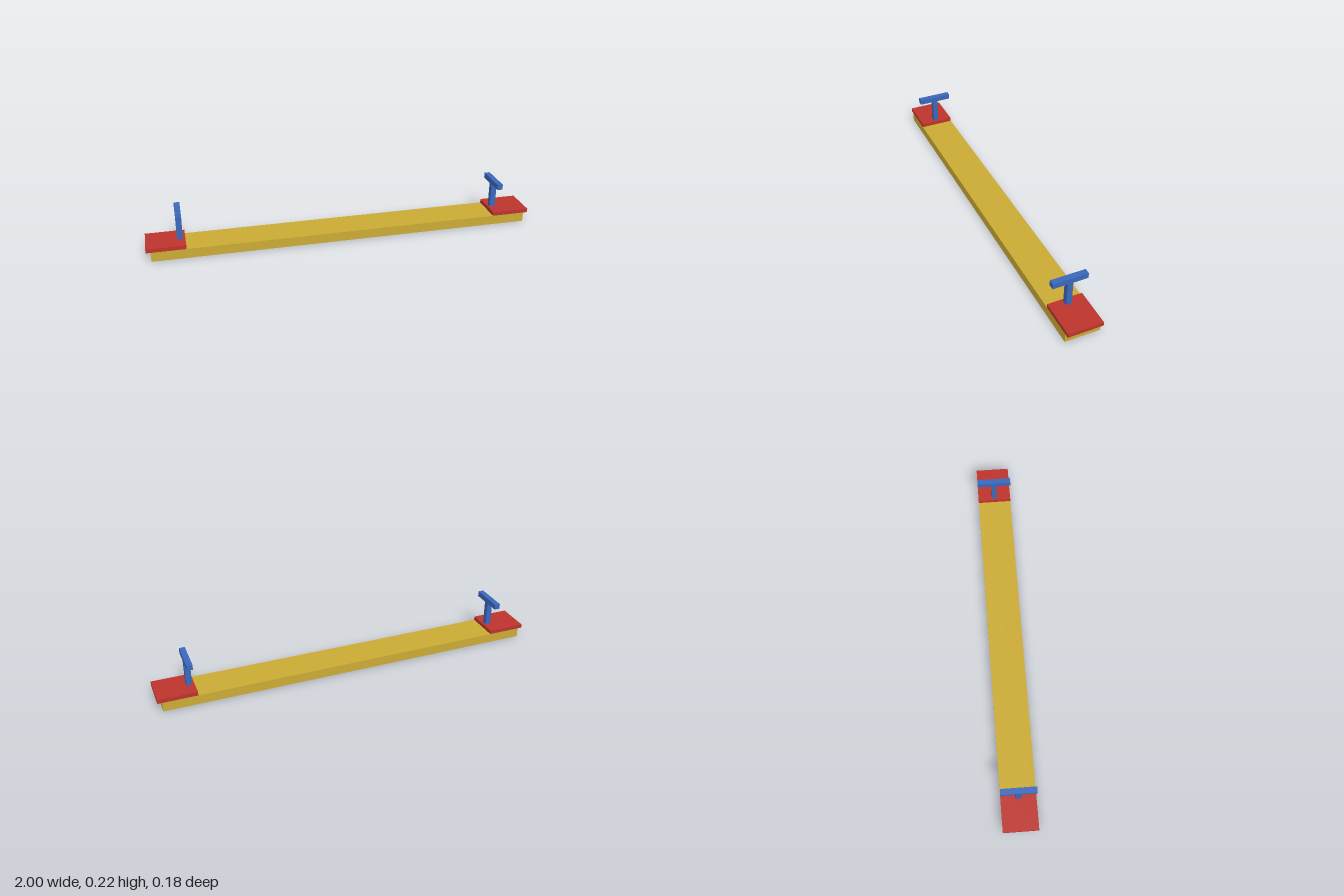
import * as THREE from 'three';

const material = (name, color) => {
  const m = new THREE.MeshStandardMaterial({ color });
  m.name = name;
  return m;
};

// Box from its centre x, bottom y and size
function block(name, mat, x, bottom, w, h, d) {
  const mesh = new THREE.Mesh(new THREE.BoxGeometry(w, h, d), mat);
  mesh.name = name;
  mesh.position.set(x, bottom + h / 2, 0);
  return mesh;
}

export function createModel() {
  const yellow = material('yellow', 0xcbab35);
  const red = material('red', 0xbd342c);
  const blue = material('blue', 0x3b68bb);
  const depth = 0.176;

  const model = new THREE.Group();
  model.name = 'seesaw';
  model.add(block('plank', yellow, 0, 0, 1.954, 0.049, depth));

  // A seat and a T-shaped handle at each end
  for (const [side, s] of [['left', 1], ['right', -1]]) {
    const end = new THREE.Group();
    end.name = side + 'End';
    end.add(
      block('seat', red, s * 0.902, 0.049, 0.196, 0.02, depth),
      block('handlePost', blue, s * 0.83, 0.069, 0.029, 0.128, 0.027),
      block('handleBar', blue, s * 0.83, 0.197, 0.029, 0.028, depth)
    );
    model.add(end);
  }
  return model;
}
